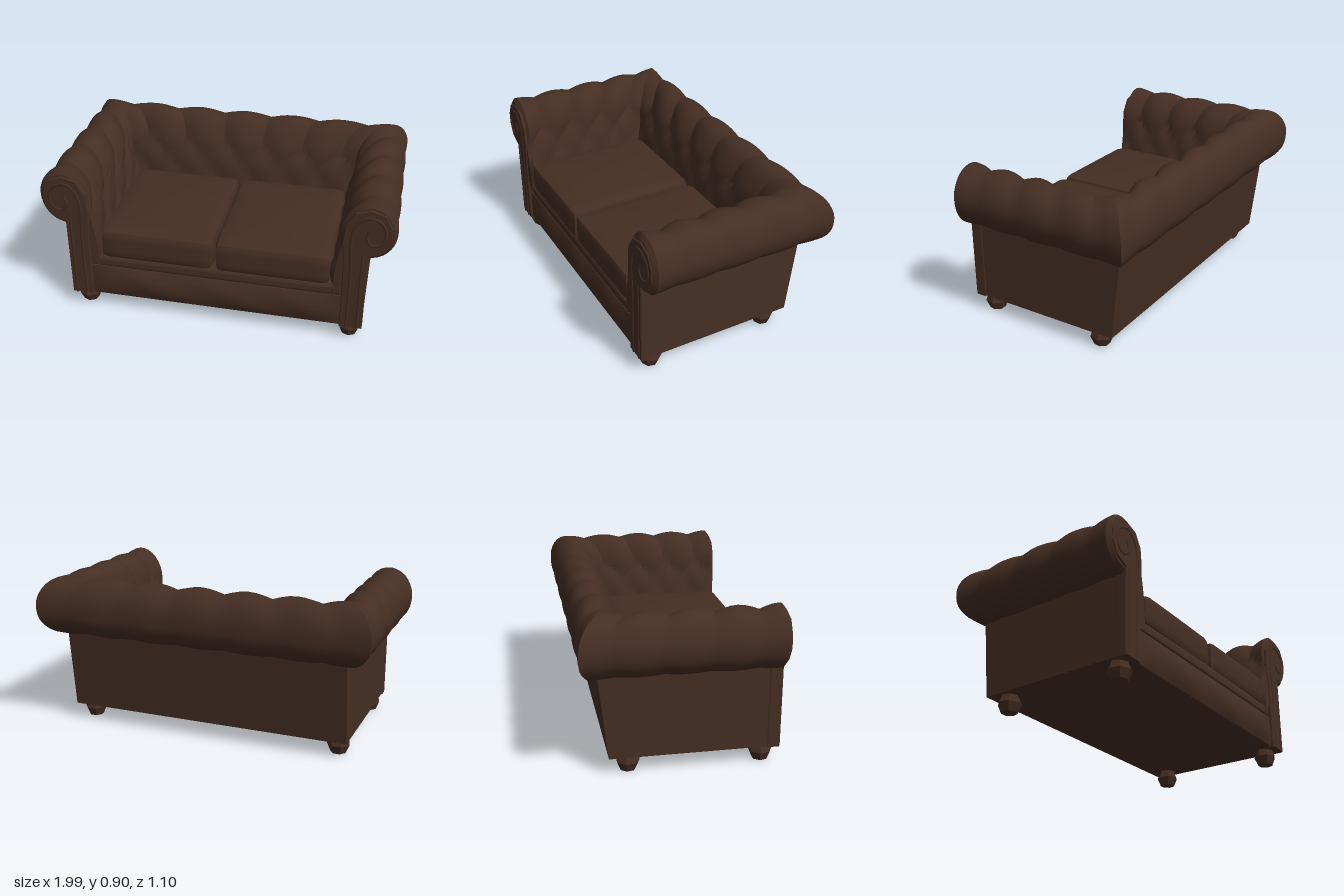
import * as THREE from 'three';
import { toCreasedNormals } from 'three/addons/utils/BufferGeometryUtils.js';

const leather = new THREE.MeshStandardMaterial({ color: 0x452e23, side: THREE.DoubleSide });
leather.name = 'brownLeather';

// Roll profile, inner seat edge to outer underside: [arm x, back depth, y]
const PROFILE = [
  [0.66, 0.24, 0.3], [0.66, 0.24, 0.44], [0.68, 0.255, 0.58], [0.705, 0.28, 0.7],
  [0.73, 0.315, 0.8], [0.785, 0.365, 0.875], [0.86, 0.43, 0.9], [0.94, 0.5, 0.865],
  [0.985, 0.54, 0.79], [0.993, 0.548, 0.72], [0.975, 0.54, 0.65], [0.925, 0.5, 0.59],
  [0.845, 0.44, 0.56],
].map((p) => new THREE.Vector3(...p));

const FRONT = 0.53;

// U-shaped padded wall with mitred corners and diamond tufting
function paddedWall() {
  const N = 34, curve = new THREE.CatmullRomCurve3(PROFILE);
  const row = [];
  for (let i = 0; i <= N; i++) {
    const p = curve.getPoint(i / N), t = curve.getTangent(i / N);
    const len = Math.hypot(t.x, t.z);
    row.push({ ax: p.x, bz: p.y, y: p.z, nd: -t.z / len, ny: t.x / len, u: i / N });
  }
  const puffAt = (r, s) => {
    const h = (r.y - 0.62) / 0.14;
    const inner = r.u < 0.45 && h < 1;
    const puff = inner
      ? Math.sqrt(Math.abs(Math.sin(Math.PI * (s + h / 2)) * Math.sin(Math.PI * (s - h / 2))))
      : Math.abs(Math.cos(Math.PI * s));
    const fade = 1 - THREE.MathUtils.smoothstep(r.u, 0.3, 0.8);
    return (0.008 + 0.026 * fade) * (puff - 0.65);
  };
  const pos = [], idx = [], cap = [];
  const addRing = (part, t, tufts, frontEnd) => {
    for (const r of row) {
      const d = frontEnd ? -0.018 : puffAt(r, t * tufts);
      const a = r.ax + r.nd * d, b = r.bz + r.nd * d, y = r.y + r.ny * d;
      if (part === 'back') pos.push(a * (1 - 2 * t), y, -b);
      else {
        const z = THREE.MathUtils.lerp(FRONT - (frontEnd ? 0 : 0.02), -b, t);
        pos.push(part === 'left' ? a : -a, y, z);
      }
      if (frontEnd && part === 'left') cap.push([a, y]);
    }
  };
  addRing('left', 0, 4, true);
  for (let k = 0; k < 24; k++) addRing('left', k / 24, 4);
  for (let k = 0; k <= 36; k++) addRing('back', k / 36, 6);
  for (let k = 23; k >= 0; k--) addRing('right', k / 24, 4);
  addRing('right', 0, 4, true);
  const rings = pos.length / 3 / (N + 1);
  for (let k = 0; k < rings - 1; k++) {
    for (let i = 0; i < N; i++) {
      const a = k * (N + 1) + i, b = a + N + 1;
      idx.push(a, a + 1, b, a + 1, b + 1, b);
    }
  }
  const g = new THREE.BufferGeometry();
  g.setAttribute('position', new THREE.Float32BufferAttribute(pos, 3));
  g.setIndex(idx);
  return { wall: toCreasedNormals(g, 0.6), cap };
}

const shapeOf = (pts, sx = 1) => new THREE.Shape(pts.map(([x, y]) => new THREE.Vector2(x * sx, y)));

// Prism from a [z, y] side profile, spanning x0..x1
function sidePrism(pts, x0, x1) {
  const g = new THREE.ExtrudeGeometry(shapeOf(pts, -1), { depth: x1 - x0, bevelEnabled: false });
  return g.rotateY(Math.PI / 2).translate(x0, 0, 0);
}

// Box with rounded edges and a soft crown on top
function cushionGeometry(w, h, d, radius) {
  const g = new THREE.BoxGeometry(w, h, d, 14, 6, 14);
  const p = g.attributes.position, v = new THREE.Vector3(), c = new THREE.Vector3();
  const half = new THREE.Vector3(w / 2 - radius, h / 2 - radius, d / 2 - radius);
  for (let i = 0; i < p.count; i++) {
    v.fromBufferAttribute(p, i);
    c.copy(v).clamp(half.clone().negate(), half);
    v.sub(c);
    if (v.length() > radius) v.setLength(radius);
    v.add(c);
    const u = (2 * v.x) / w, q = (2 * v.z) / d;
    if (v.y > 0) v.y += 0.03 * (1 - u * u) * (1 - q * q);
    p.setXYZ(i, v.x, v.y, v.z);
  }
  return toCreasedNormals(g, 0.7);
}

// Front rail with a bulging, lightly wrinkled face
function railGeometry() {
  const g = new THREE.BoxGeometry(1.46, 0.195, 0.08, 28, 6, 1);
  const p = g.attributes.position;
  for (let i = 0; i < p.count; i++) {
    if (p.getZ(i) < 0) continue;
    const x = p.getX(i), t = p.getY(i) / 0.0975;
    const bulge = 0.028 * (1 - t * t) * (1 - Math.pow(Math.abs(x) / 0.73, 8));
    p.setZ(i, p.getZ(i) + bulge * (0.85 + 0.2 * Math.sin(x * 14 + t * 2)));
  }
  return toCreasedNormals(g, 0.5);
}

export function createModel() {
  const model = new THREE.Group();
  model.name = 'sofa';
  const add = (name, geometry, x = 0, y = 0, z = 0) => {
    const m = new THREE.Mesh(geometry, leather);
    m.name = name;
    m.position.set(x, y, z);
    model.add(m);
    return m;
  };

  // Tufted arms and back
  const { wall, cap } = paddedWall();
  add('tuftedArmsAndBack', wall);

  // Body below the roll, with the back leaning outward
  add('base', sidePrism([[0.515, 0.1], [0.515, 0.36], [-0.35, 0.36], [-0.35, 0.1]], -0.75, 0.75));
  add('backPanel', sidePrism([[-0.3, 0.1], [-0.32, 0.62], [-0.453, 0.62], [-0.393, 0.1]], -0.74, 0.74));
  const sideWall = [[0.52, 0.1], [0.52, 0.62], [-0.453, 0.62], [-0.393, 0.1]];
  add('leftSidePanel', sidePrism(sideWall, 0.74, 0.85));
  add('rightSidePanel', sidePrism(sideWall, -0.85, -0.74));

  // Front rail and seat deck edge
  add('frontRail', railGeometry(), 0, 0.1985, 0.482);
  add('seatDeckEdge', cushionGeometry(1.44, 0.06, 0.1, 0.014), 0, 0.328, 0.475);

  // Scrolled arm fronts with welting
  const scroll = [[0.73, 0.1], [0.728, 0.5], [0.715, 0.66], [0.725, 0.77], [0.77, 0.845], [0.85, 0.87],
    [0.925, 0.845], [0.965, 0.77], [0.965, 0.7], [0.93, 0.63], [0.85, 0.595], [0.85, 0.1]];
  const welt = [[0.765, 0.1], [0.765, 0.5], [0.757, 0.68], [0.775, 0.77], [0.83, 0.825], [0.9, 0.81],
    [0.935, 0.75], [0.92, 0.68], [0.87, 0.66], [0.835, 0.7], [0.85, 0.75]];
  for (const s of [1, -1]) {
    const side = s > 0 ? 'left' : 'right';
    add(side + 'ArmEnd', new THREE.ShapeGeometry(shapeOf(cap, s)), 0, 0, FRONT);
    add(side + 'ArmFront', new THREE.ExtrudeGeometry(shapeOf(scroll, s),
      { depth: 0.06, bevelThickness: 0.006, bevelSize: 0.004, bevelSegments: 1 }), 0, 0, 0.472);
    const path = new THREE.CatmullRomCurve3(welt.map(([x, y]) => new THREE.Vector3(x * s, y, 0.535)));
    add(side + 'ArmWelt', new THREE.TubeGeometry(path, 50, 0.009, 6));
    const edge = new THREE.LineCurve3(new THREE.Vector3(0.825 * s, 0.1, 0.535), new THREE.Vector3(0.825 * s, 0.6, 0.535));
    add(side + 'ArmOuterWelt', new THREE.TubeGeometry(edge, 1, 0.009, 6));

    // Seat cushion
    add(side + 'SeatCushion', cushionGeometry(0.655, 0.185, 0.78, 0.035), 0.334 * s, 0.448, 0.138);

    // Faceted bun feet
    for (const [end, z] of [['Front', 0.448], ['Back', -0.285]]) {
      const bun = [[0, 0.005], [0.045, 0.005], [0.066, 0.055], [0.05, 0.102], [0, 0.102]];
      const foot = new THREE.LatheGeometry(bun.map((q) => new THREE.Vector2(...q)), 7).toNonIndexed();
      foot.computeVertexNormals();
      add(side + end + 'Foot', foot, 0.78 * s, 0, z);
    }
  }
  return model;
}
